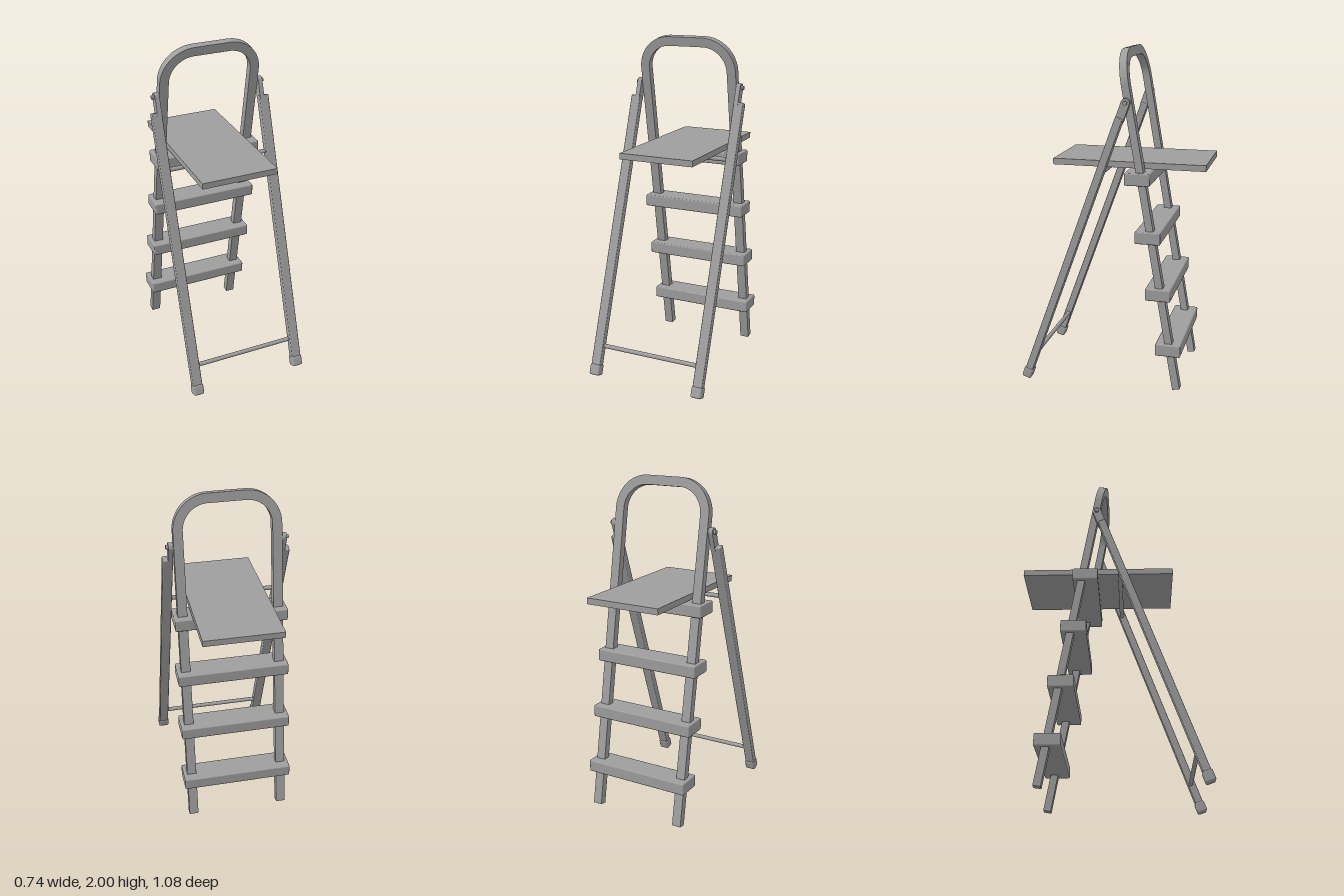
import * as THREE from 'three';
import { RoundedBoxGeometry } from 'three/addons/geometries/RoundedBoxGeometry.js';
import { toCreasedNormals } from 'three/addons/utils/BufferGeometryUtils.js';

const material = new THREE.MeshStandardMaterial({ color: 0x9e9e9e });

function add(parent, name, geometry, x = 0, y = 0, z = 0) {
  const mesh = new THREE.Mesh(geometry, material);
  mesh.name = name;
  mesh.position.set(x, y, z);
  parent.add(mesh);
  return mesh;
}

// Rod lying along x
function rod(parent, name, radius, length, x, y, z) {
  add(parent, name, new THREE.CylinderGeometry(radius, radius, length, 20), x, y, z).rotation.z = Math.PI / 2;
}

function extrude(shape, depth) {
  const geometry = new THREE.ExtrudeGeometry(shape, { depth, bevelEnabled: false, curveSegments: 16 });
  geometry.translate(0, 0, -depth / 2);
  return toCreasedNormals(geometry, 0.6);
}

// Step frame outline: two rails joined by a rounded hand rail
function hoopShape(half, height, bar, radius) {
  const s = new THREE.Shape();
  const inner = half - bar, r = radius - bar;
  s.moveTo(-half, 0);
  s.lineTo(-inner, 0);
  s.lineTo(-inner, height - radius);
  s.absarc(-inner + r, height - radius, r, Math.PI, Math.PI / 2, true);
  s.lineTo(inner - r, height - bar);
  s.absarc(inner - r, height - radius, r, Math.PI / 2, 0, true);
  s.lineTo(inner, 0);
  s.lineTo(half, 0);
  s.lineTo(half, height - radius);
  s.absarc(half - radius, height - radius, radius, 0, Math.PI / 2, false);
  s.lineTo(-half + radius, height);
  s.absarc(-half + radius, height - radius, radius, Math.PI / 2, Math.PI, false);
  s.closePath();
  return s;
}

// Hinge plate: straight sides with a round end about the pin
function hingeShape(width, length) {
  const r = width / 2;
  const s = new THREE.Shape();
  s.moveTo(-r, 0);
  s.lineTo(r, 0);
  s.lineTo(r, length);
  s.absarc(0, length, r, 0, Math.PI, false);
  s.closePath();
  return s;
}

export function createModel() {
  const ladder = new THREE.Group();
  ladder.name = 'stepladder';

  // Rear frame, leaning forward
  const frame = add(ladder, 'stepFrame', extrude(hoopShape(0.307, 2.02, 0.055, 0.2), 0.044), 0, 0.007, -0.404);
  frame.rotation.x = 0.173;

  // Steps
  for (let i = 0; i < 4; i++) {
    add(ladder, 'step' + (i + 1), new RoundedBoxGeometry(0.658, 0.073, 0.15, 2, 0.008),
      0, 0.259 + i * 0.34, -0.354 + i * 0.0636);
  }

  // Platform resting on the top step and the upper crossbar
  add(ladder, 'platform', new THREE.BoxGeometry(0.46, 0.036, 0.9), 0, 1.343, -0.091);

  // Front legs with feet and hinges
  for (const side of [1, -1]) {
    const leg = new THREE.Group();
    leg.name = side > 0 ? 'leftFrontLeg' : 'rightFrontLeg';
    leg.position.set(side * 0.336, 0.01, 0.519);
    leg.rotation.x = -0.348;
    ladder.add(leg);
    add(leg, 'legTube', new RoundedBoxGeometry(0.059, 1.7, 0.045, 2, 0.006), 0, 0.87, 0);
    add(leg, 'foot', new RoundedBoxGeometry(0.067, 0.066, 0.057, 3, 0.012), 0, 0.033, 0);
    const plate = add(leg, 'hingePlate', extrude(hingeShape(0.05, 0.11), 0.027), -side * 0.014, 1.7, 0);
    plate.rotation.y = Math.PI / 2;
    rod(leg, 'hingePin', 0.012, 0.06, -side * 0.017, 1.81, 0);
  }

  // Crossbars between the front legs
  rod(ladder, 'lowerCrossbar', 0.013, 0.64, 0, 0.177, 0.452);
  rod(ladder, 'upperCrossbar', 0.013, 0.64, 0, 1.31, 0.042);

  return ladder;
}
